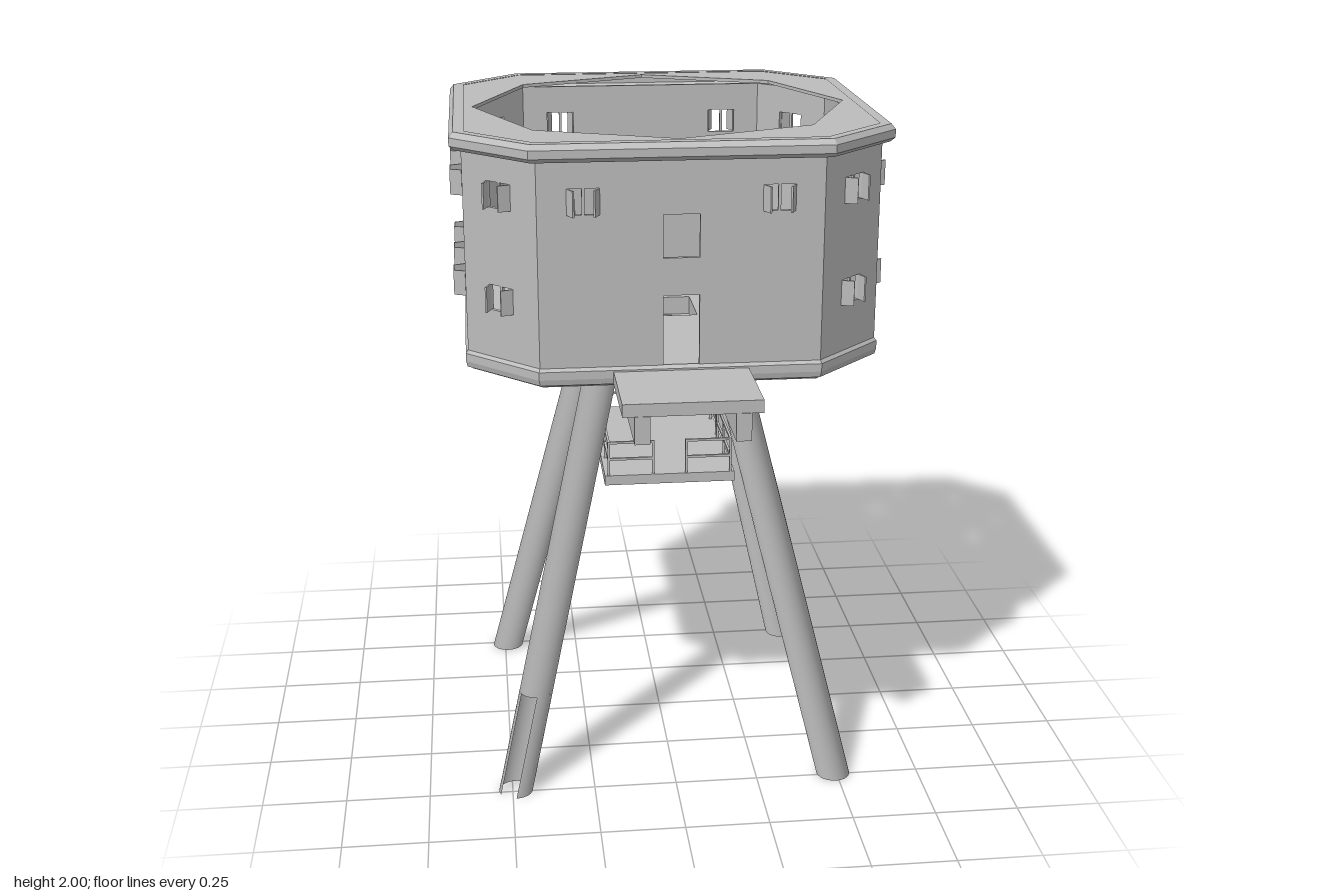
import * as THREE from 'three';

const concrete = new THREE.MeshStandardMaterial({ color: 0xbcbcbc, side: THREE.DoubleSide });
concrete.name = 'concrete grey';

function add(parent, name, geometry, x = 0, y = 0, z = 0) {
  const mesh = new THREE.Mesh(geometry, concrete);
  mesh.name = name;
  mesh.position.set(x, y, z);
  parent.add(mesh);
  return mesh;
}

// Chamfered square: h = half width, c = where the chamfer starts
const octagon = (h, c) => [[c, h], [h, c], [h, -c], [c, -h], [-c, -h], [-h, -c], [-h, c], [-c, h]];

// Faceted band through chamfered squares [half, chamfer start, y], listed bottom to top
function band(rings) {
  const pos = [];
  const loops = rings.map(([h, c, y]) => octagon(h, c).map(([x, z]) => [x, y, z]));
  for (let r = 0; r < loops.length - 1; r++) {
    for (let i = 0; i < 8; i++) {
      const j = (i + 1) % 8;
      const a = loops[r][i], b = loops[r][j], c = loops[r + 1][j], d = loops[r + 1][i];
      pos.push(...a, ...b, ...c, ...a, ...c, ...d);
    }
  }
  const g = new THREE.BufferGeometry();
  g.setAttribute('position', new THREE.Float32BufferAttribute(pos, 3));
  g.computeVertexNormals();
  return g;
}

// Flat chamfered plate with a hole in it, top face at y = top
function plate(h, c, hole, thickness, top) {
  const shape = new THREE.Shape(octagon(h, c).map(([x, z]) => new THREE.Vector2(x, z)));
  shape.holes.push(hole);
  const g = new THREE.ExtrudeGeometry(shape, { depth: thickness, bevelEnabled: false, curveSegments: 16 });
  return g.rotateX(Math.PI / 2).translate(0, top, 0);
}

function rectHole(x, y, w, h) {
  const p = new THREE.Path();
  p.moveTo(x - w / 2, y - h / 2);
  p.lineTo(x - w / 2, y + h / 2);
  p.lineTo(x + w / 2, y + h / 2);
  p.lineTo(x + w / 2, y - h / 2);
  p.closePath();
  return p;
}

const UPPER = 1.84, LOWER = 1.55, WIN_W = 0.085, WIN_H = 0.072;

// Wall panel turned to its side of the house, with openings and open casements
function wall(parent, name, turn, distance, width, windows, openings = []) {
  const group = new THREE.Group();
  group.name = name;
  group.rotation.y = turn;
  const w = width / 2, y0 = 1.36, y1 = 1.96, thick = 0.012;
  const shape = new THREE.Shape([[-w, y0], [w, y0], [w, y1], [-w, y1]].map(([x, y]) => new THREE.Vector2(x, y)));
  windows.forEach(([x, y]) => shape.holes.push(rectHole(x, y, WIN_W, WIN_H)));
  openings.forEach((o) => shape.holes.push(rectHole(...o)));
  add(group, 'wallPanel', new THREE.ExtrudeGeometry(shape, { depth: thick, bevelEnabled: false }), 0, 0, distance - thick);
  for (const [x, y] of windows) {
    add(group, 'windowMullion', new THREE.BoxGeometry(0.008, WIN_H, 0.008), x, y, distance - 0.004);
    for (const s of [-1, 1]) {
      const casement = new THREE.BoxGeometry(0.036, WIN_H, 0.005).translate(-s * 0.018, 0, 0);
      add(group, 'windowCasement', casement, x + s * WIN_W / 2, y, distance).rotation.y = s * 1.15;
    }
  }
  parent.add(group);
}

// Leg tube leaning outward; cross-sections stay horizontal circles
function legTube(sx, sz, y0, y1, start = 0, length = Math.PI * 2) {
  const g = new THREE.CylinderGeometry(0.051, 0.051, y1 - y0, 24, 1, true, start, length);
  g.translate(0, (y0 + y1) / 2, 0);
  const p = g.attributes.position;
  for (let i = 0; i < p.count; i++) {
    const lean = 0.49 - 0.238 * p.getY(i);
    p.setX(i, p.getX(i) + sx * lean);
    p.setZ(i, p.getZ(i) + sz * lean);
  }
  return g;
}

// Railing section between two floor points, with posts and two rails
function railing(parent, x0, z0, x1, z1, posts) {
  const group = new THREE.Group();
  group.name = 'railing';
  const t = 0.007;
  for (const y of [0.995, 1.047]) {
    add(group, 'rail', new THREE.BoxGeometry(Math.abs(x1 - x0) + t, t, Math.abs(z1 - z0) + t),
      (x0 + x1) / 2, y, (z0 + z1) / 2);
  }
  for (let i = 0; i < posts; i++) {
    const k = i / (posts - 1);
    add(group, 'railingPost', new THREE.BoxGeometry(t, 0.11, t), x0 + (x1 - x0) * k, 0.995, z0 + (z1 - z0) * k);
  }
  parent.add(group);
}

export function createModel() {
  const model = new THREE.Group();
  model.name = 'seaFort';

  // House walls
  const house = new THREE.Group();
  house.name = 'house';
  model.add(house);
  const pair = (y) => [[-0.265, y], [0.265, y]];
  const door = [0, 1.475, 0.1, 0.2];
  const q = Math.PI / 4;
  wall(house, 'frontWall', 0, 0.585, 0.78, pair(UPPER), [door, [0, 1.74, 0.1, 0.12]]);
  wall(house, 'backWall', 4 * q, 0.585, 0.78, [...pair(UPPER), ...pair(LOWER)], [door]);
  wall(house, 'rightWall', 2 * q, 0.585, 0.78, [...pair(UPPER), ...pair(LOWER)]);
  wall(house, 'leftWall', -2 * q, 0.585, 0.78, [...pair(UPPER), ...pair(LOWER), [0, UPPER], [0, LOWER]]);
  for (const k of [1, 3, 5, 7]) {
    const front = k === 1 || k === 7;
    wall(house, 'cornerWall', k * q, 0.6894, 0.2758, front ? [[0, UPPER], [0, LOWER]] : [[0, UPPER]]);
  }

  // Roof rim and roof deck with its large octagonal opening
  add(house, 'roofRim', band([[0.575, 0.39, 1.95], [0.605, 0.403, 1.95], [0.617, 0.41, 1.962],
    [0.617, 0.41, 1.985], [0.605, 0.405, 2], [0.575, 0.395, 2]]));
  const opening = new THREE.Path();
  for (let i = 0; i < 8; i++) {
    const x = 0.55 * Math.sin(-i * q), y = 0.55 * Math.cos(i * q);
    if (i === 0) opening.moveTo(x, y); else opening.lineTo(x, y);
  }
  opening.closePath();
  add(house, 'roofDeck', plate(0.58, 0.397, opening, 0.01, 1.998));

  // Floor with rounded lower edge and a square hatch
  add(house, 'floorEdge', band([[0.57, 0.38, 1.32], [0.588, 0.39, 1.328], [0.592, 0.393, 1.345],
    [0.592, 0.393, 1.368], [0.584, 0.39, 1.378]]));
  add(house, 'floor', plate(0.575, 0.382, rectHole(0, 0, 0.21, 0.2), 0.055, 1.375));

  // Base block that carries the house, with a round shaft
  const shaft = new THREE.Path();
  shaft.absarc(0, 0, 0.1, 0, Math.PI * 2, true);
  add(model, 'baseEdge', band([[0.28, 0.225, 1.222], [0.292, 0.232, 1.235], [0.292, 0.232, 1.325]]));
  add(model, 'baseBlock', plate(0.283, 0.226, shaft, 0.098, 1.32));

  // Landing stages on beams, front and back
  for (const s of [1, -1]) {
    const stage = new THREE.Group();
    stage.name = s > 0 ? 'frontLanding' : 'backLanding';
    add(stage, 'landingDeck', new THREE.BoxGeometry(0.376, 0.036, 0.295), 0, 1.345, s * 0.717);
    for (const x of [-0.135, 0.135]) {
      add(stage, 'landingBeam', new THREE.BoxGeometry(0.042, 0.078, 0.59), x, 1.289, s * 0.572);
    }
    model.add(stage);
  }

  // Four hollow legs; the front one on the -x side has a slot at its foot
  for (const sx of [-1, 1]) {
    for (const sz of [-1, 1]) {
      const slotted = sx < 0 && sz > 0;
      add(model, 'leg', legTube(sx, sz, slotted ? 0.3 : 0, 1.24));
      if (slotted) add(model, 'slottedFoot', legTube(sx, sz, 0, 0.3, 0, Math.PI * 1.65));
    }
  }

  // Platform between the legs, with railings
  const platform = new THREE.Group();
  platform.name = 'platform';
  model.add(platform);
  add(platform, 'platformDeck', new THREE.BoxGeometry(0.39, 0.03, 0.62), 0, 0.93, 0);
  for (const s of [-1, 1]) {
    for (const t of [-1, 1]) {
      railing(platform, s * 0.05, t * 0.303, s * 0.183, t * 0.303, 2);
      railing(platform, s * 0.183, t * 0.013, s * 0.183, t * 0.303, 3);
    }
  }
  return model;
}
